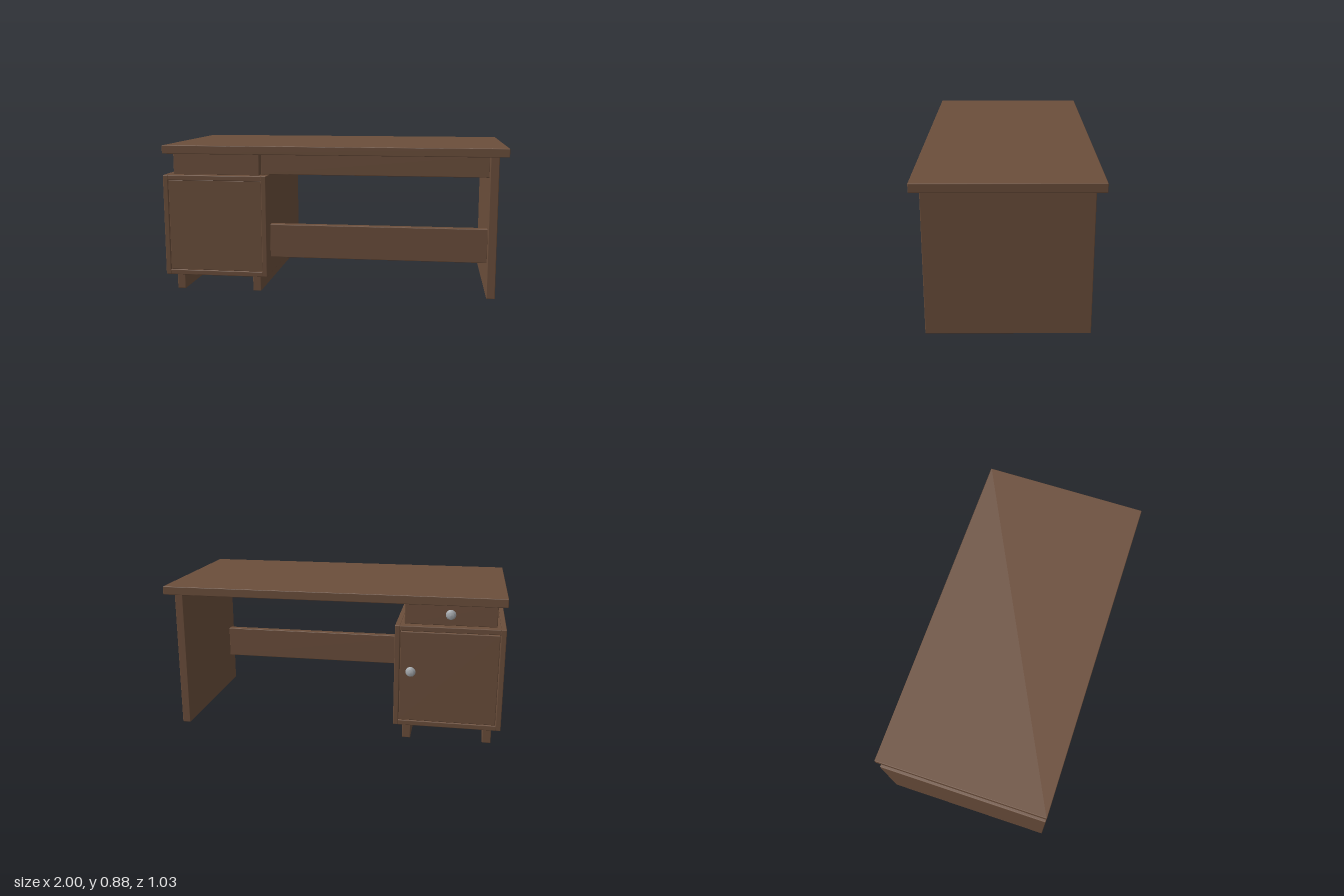
import * as THREE from 'three';
import { RoundedBoxGeometry } from 'three/addons/geometries/RoundedBoxGeometry.js';

export function createModel() {
  const desk = new THREE.Group();
  desk.name = 'desk';
  const wood = new THREE.MeshStandardMaterial({ color: 0x6b4e3b });
  wood.name = 'brown wood';
  const metal = new THREE.MeshStandardMaterial({ color: 0xa9adb1 });
  metal.name = 'grey metal';

  // A wooden board with softened edges, given by its extents on each axis
  function board(name, [x0, x1], [y0, y1], [z0, z1], parent = desk) {
    const geometry = new RoundedBoxGeometry(x1 - x0, y1 - y0, z1 - z0, 2, 0.004);
    const mesh = new THREE.Mesh(geometry, wood);
    mesh.position.set((x0 + x1) / 2, (y0 + y1) / 2, (z0 + z1) / 2);
    mesh.name = name;
    parent.add(mesh);
  }

  // Turned knob: flange, slim neck and flared head, pointing to the back
  const profile = [
    [0, 0], [0.029, 0], [0.029, 0.004], [0.016, 0.008], [0.009, 0.012],
    [0.009, 0.018], [0.019, 0.021], [0.021, 0.025], [0.019, 0.029], [0, 0.031],
  ].map(([r, h]) => new THREE.Vector2(r, h));
  const knobGeometry = new THREE.LatheGeometry(profile, 24).rotateX(-Math.PI / 2);
  function knob(name, x, y, z) {
    const mesh = new THREE.Mesh(knobGeometry, metal);
    mesh.position.set(x, y, z);
    mesh.name = name;
    desk.add(mesh);
  }

  const full = [-0.485, 0.515];
  const inner = [-0.435, 0.465];
  const apronDepth = [0.365, 0.415];

  // Table top, side support and the two long rails
  board('tableTop', [-1, 1], [0.825, 0.875], full);
  board('sidePanel', [0.9, 0.95], [0, 0.828], inner);
  board('upperRail', [-0.432, 0.902], [0.7, 0.827], apronDepth);
  board('lowerRail', [-0.382, 0.902], [0.2, 0.4], apronDepth);

  // Cabinet
  const cabinet = new THREE.Group();
  cabinet.name = 'cabinet';
  desk.add(cabinet);
  board('cabinetOuterSide', [-1, -0.97], [0.1, 0.7], full, cabinet);
  board('cabinetInnerSide', [-0.41, -0.38], [0.1, 0.7], full, cabinet);
  board('cabinetTop', [-0.972, -0.408], [0.67, 0.7], full, cabinet);
  board('cabinetBottom', [-0.972, -0.408], [0.1, 0.13], full, cabinet);
  board('cabinetFrontPanel', [-0.971, -0.409], [0.129, 0.671], [0.475, 0.505], cabinet);
  board('cabinetDoor', [-0.967, -0.413], [0.133, 0.667], [-0.485, -0.455], cabinet);

  // Drawer box between the cabinet and the top
  board('drawerCase', [-0.95, -0.43], [0.698, 0.828], [-0.41, 0.465]);
  board('drawerFront', [-0.95, -0.43], [0.7, 0.825], [-0.435, -0.405]);

  // Runners under the cabinet
  for (const x of [-0.95, -0.48]) board('runner', [x, x + 0.05], [0, 0.102], inner);

  knob('drawerKnob', -0.69, 0.763, -0.434);
  knob('doorKnob', -0.475, 0.43, -0.484);
  return desk;
}
